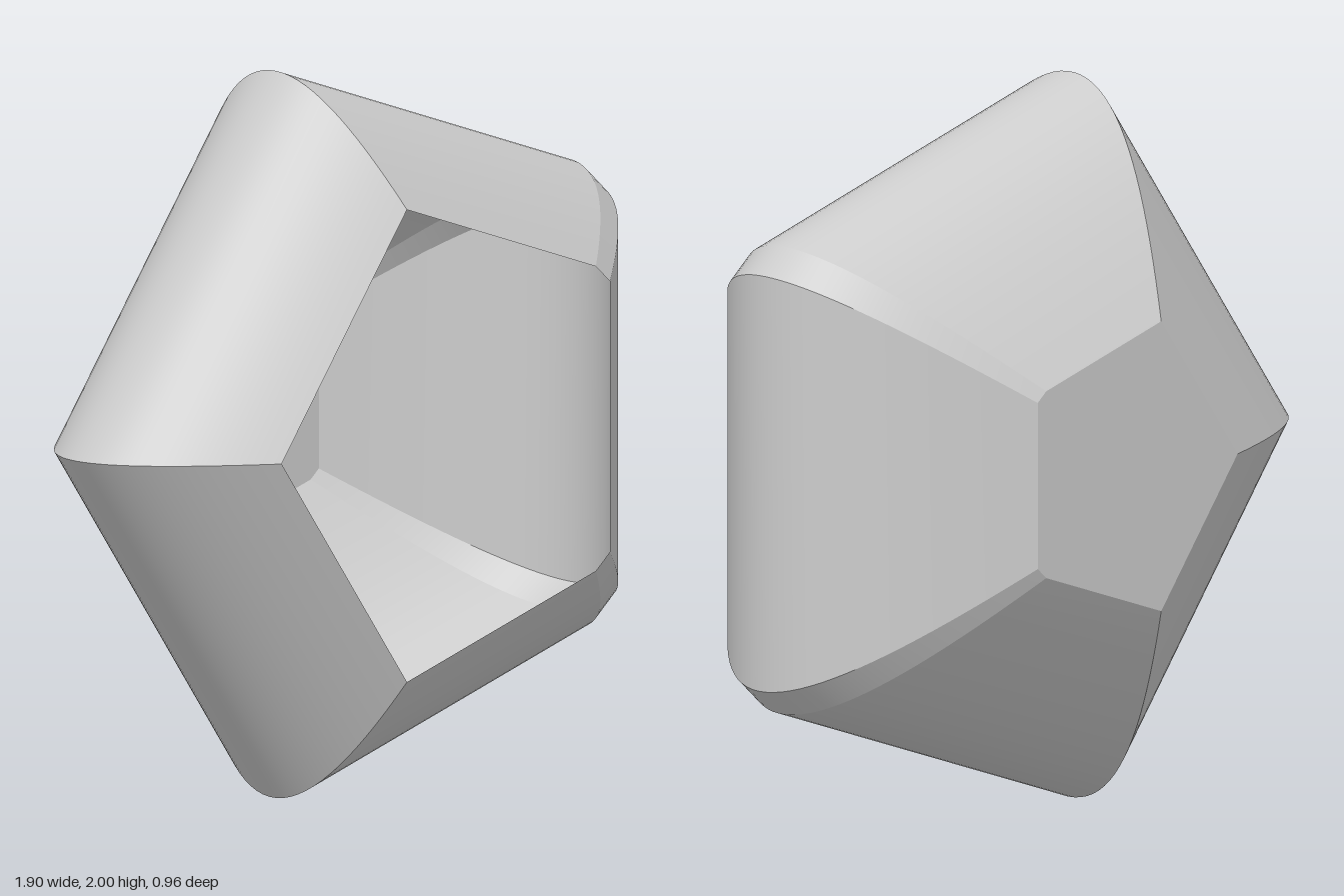
import * as THREE from 'three';

// Unit cross-section: a pentagon whose two right corners are chamfered (counterclockwise)
const upper = [[0.809, 0.545], [0.732, 0.613], [-0.309, 0.951]];
const corners = [
  ...upper,
  [-1, 0],
  ...upper.map(([x, y]) => [x, -y]).reverse(),
];

// Cosine bulge from the back (z0, r0) over the widest point (zMid, rMax) to the front (z1, r1)
function bulge(z0, r0, zMid, rMax, z1, r1, steps = 36) {
  const a0 = Math.acos(r0 / rMax), a1 = Math.acos(r1 / rMax);
  return Array.from({ length: steps + 1 }, (_, i) => {
    const a = -a0 + (a0 + a1) * i / steps;
    const z = a < 0 ? zMid + (zMid - z0) * a / a0 : zMid + (z1 - zMid) * a / a1;
    return [rMax * Math.cos(a), z];
  });
}

// One facet of the wall: smooth along the bulge, with hard edges to its neighbours
function facet(a, b, profile, inward) {
  const pos = [], index = [];
  profile.forEach(([r, z], j) => {
    pos.push(a[0] * r, a[1] * r, z, b[0] * r, b[1] * r, z);
    if (j === 0) return;
    const k = 2 * j - 2;
    if (inward) index.push(k, k + 3, k + 1, k, k + 2, k + 3);
    else index.push(k, k + 1, k + 3, k, k + 3, k + 2);
  });
  const g = new THREE.BufferGeometry();
  g.setAttribute('position', new THREE.Float32BufferAttribute(pos, 3));
  g.setIndex(index);
  g.computeVertexNormals();
  return g;
}

// Flat plate with the same cross-section, facing +z
function plate(r) {
  return new THREE.ShapeGeometry(new THREE.Shape(corners.map(([x, y]) => new THREE.Vector2(x * r, y * r))));
}

export function createModel() {
  const material = new THREE.MeshStandardMaterial({ color: 0xcccccc });
  const model = new THREE.Group();
  model.name = 'facetedPot';

  const add = (parent, geometry, name) => {
    const mesh = new THREE.Mesh(geometry, material);
    mesh.name = name;
    parent.add(mesh);
    return mesh;
  };

  // Outer and inner walls meet at a sharp rim around the opening
  const walls = {
    outerWall: bulge(-0.48, 0.42, 0.075, 1.0515, 0.48, 0.683),
    innerWall: bulge(-0.425, 0.4, 0.115, 0.95, 0.48, 0.683),
  };
  for (const [name, profile] of Object.entries(walls)) {
    const wall = new THREE.Group();
    wall.name = name;
    corners.forEach((c, i) => {
      const next = corners[(i + 1) % corners.length];
      add(wall, facet(c, next, profile, name === 'innerWall'), `${name}Facet${i + 1}`);
    });
    model.add(wall);
  }

  // Flat base at the back and the floor inside the hollow
  add(model, plate(0.42).rotateX(Math.PI), 'base').position.z = -0.48;
  add(model, plate(0.4), 'innerFloor').position.z = -0.425;

  model.position.set(0.1, 1, 0);
  const root = new THREE.Group();
  root.name = 'pot';
  root.add(model);
  return root;
}
